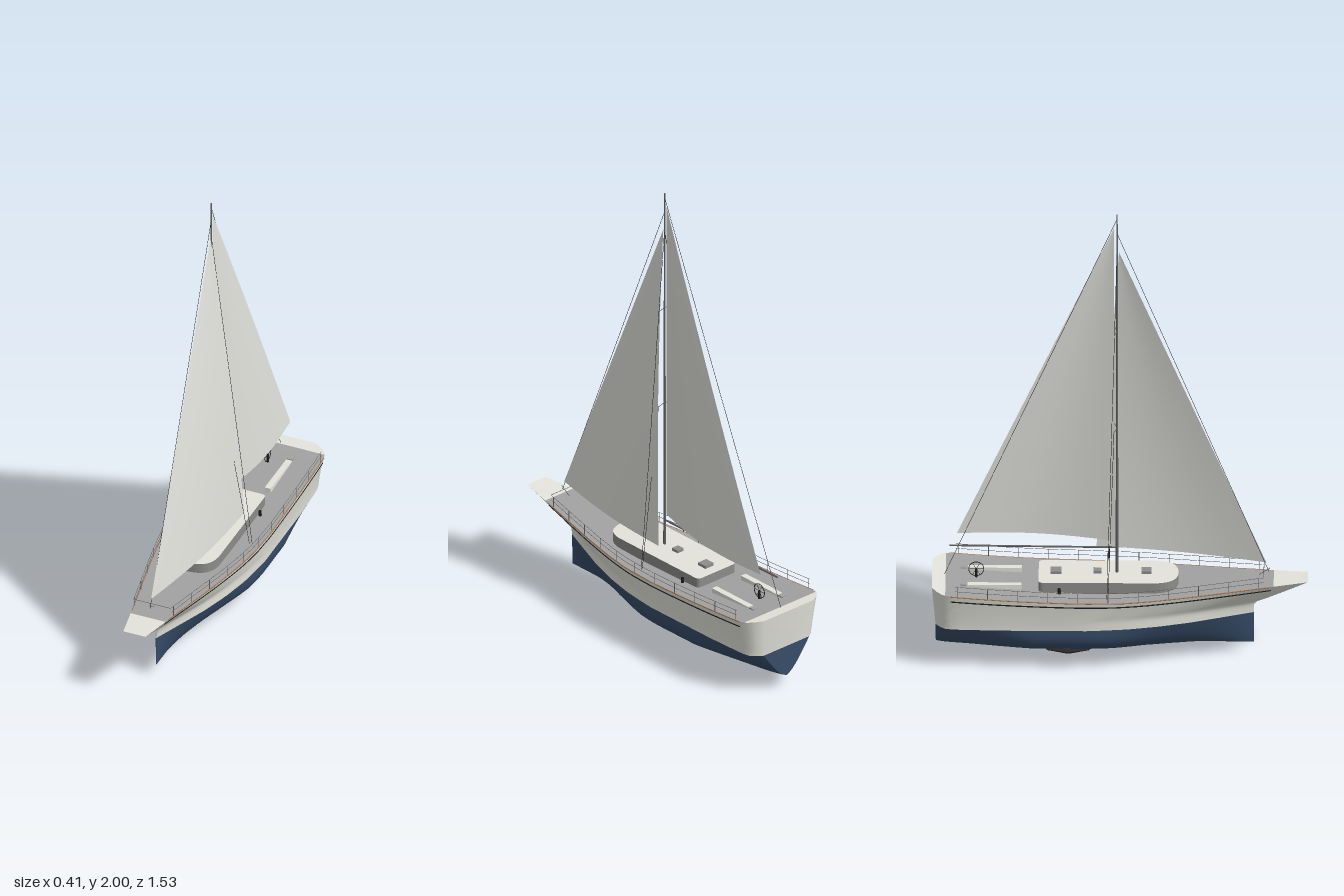
import * as THREE from 'three';
import { toCreasedNormals } from 'three/addons/utils/BufferGeometryUtils.js';

const mat = (name, color, side = THREE.FrontSide) => {
  const m = new THREE.MeshStandardMaterial({ color, side });
  m.name = name;
  return m;
};
const V = (x, y, z) => new THREE.Vector3(x, y, z);
const lerp = THREE.MathUtils.lerp;

// Piecewise-linear lookup in a short list of [position, value]
function look(list, t) {
  if (t <= list[0][0]) return list[0][1];
  for (let i = 1; i < list.length; i++) {
    const [a, va] = list[i - 1], [b, vb] = list[i];
    if (t <= b) return lerp(va, vb, (t - a) / (b - a));
  }
  return list[list.length - 1][1];
}

// Hull lines: deck half-width and sheer height along z, waterline half-width along the length
const deckLine = [[-0.775, 0.135], [-0.755, 0.17], [-0.73, 0.195], [-0.70, 0.205], [-0.15, 0.205],
  [0, 0.197], [0.1, 0.184], [0.2, 0.166], [0.3, 0.146], [0.5, 0.103], [0.76, 0.05]];
const waterLine = [[0, 0.125], [0.013, 0.15], [0.03, 0.17], [0.06, 0.178], [0.2, 0.185], [0.48, 0.187],
  [0.6, 0.17], [0.7, 0.142], [0.8, 0.103], [0.9, 0.053], [1, 0.002]];
const sheer = z => 0.327 + (z > 0 ? 0.028 * (z / 0.76) ** 1.4 : 0.038 * (-z / 0.775) ** 2);
const KEEL = 0.06, WATER = 0.195;

// Point on the left side of the hull; s runs stern to bow
function bottomPoint(s, u) {
  const y = lerp(KEEL, WATER, u);
  const round = Math.sqrt(1 - (1 - u) ** 3);
  const vee = Math.max(0.75 * Math.max(0, 1 - s / 0.3), Math.max(0, (s - 0.55) / 0.45));
  return V(look(waterLine, s) * lerp(round, u, vee), y, lerp(-0.76, 0.54, s));
}
function topPoint(s, v) {
  const bow = 0.54 + 0.22 * Math.max(0, (v - 0.31) / 0.69) ** 0.9;
  const z = lerp(-0.76 - 0.015 * v, bow, s);
  const zDeck = lerp(-0.775, 0.76, s);
  const x = lerp(look(waterLine, s), look(deckLine, zDeck), v ** 1.4);
  return V(x, lerp(WATER, sheer(zDeck), v), z);
}

// Skin a grid of points, rows of equal length
function skin(rows, closed, crease) {
  const n = rows[0].length, idx = [];
  for (let r = 0; r < rows.length - 1; r++) {
    for (let i = 0; i < (closed ? n : n - 1); i++) {
      const j = (i + 1) % n, a = r * n + i, b = r * n + j;
      idx.push(a, b, b + n, a, b + n, a + n);
    }
  }
  const g = new THREE.BufferGeometry().setFromPoints(rows.flat());
  g.setIndex(idx);
  g.computeVertexNormals();
  return crease ? toCreasedNormals(g, crease) : g;
}

const stations = [0, 0.013, 0.03, 0.05];
for (let i = 2; i <= 36; i++) stations.push(i / 36);

// Closed rings around the hull, one per level
function hullBand(point, levels) {
  const rows = [];
  for (let k = 0; k <= levels; k++) {
    const left = stations.map(s => point(s, k / levels));
    const right = left.map(p => V(-p.x, p.y, p.z));
    rows.push([...right, ...left.reverse()]);
  }
  return skin(rows, true, 0.6);
}

function deckStrip(z0, z1, n) {
  const left = [], right = [];
  for (let i = 0; i <= n; i++) {
    const z = lerp(z0, z1, i / n), x = look(deckLine, z) - 0.0005, y = sheer(z) - 0.001;
    left.push(V(x, y, z));
    right.push(V(-x, y, z));
  }
  return skin([right, left], false);
}

// Triangular sail with belly toward +x
function sailGeometry(head, tack, clew, belly, leech) {
  const rows = [], n = 16;
  for (let r = 0; r <= n; r++) {
    const v = r / n, row = [];
    for (let i = 0; i <= n; i++) {
      const u = i / n, p = tack.clone().lerp(clew, u).lerp(head, v);
      p.x += belly * Math.sin(Math.PI * u) * (1 - v) + leech * u * v * (1 - v);
      row.push(p);
    }
    rows.push(row);
  }
  return skin(rows, false);
}

export function createModel() {
  const white = mat('creamWhite', 0xe4e4dc);
  const cloth = mat('sailCloth', 0xe2e2dd, THREE.DoubleSide);
  const navy = mat('navyBottom', 0x374d69);
  const deckGrey = mat('deckGrey', 0xa2a2a2);
  const wallGrey = mat('cabinGrey', 0x8c8c8a);
  const metal = mat('sparGrey', 0x626262);
  const black = mat('rigBlack', 0x1c1c1e);
  const teak = mat('teak', 0xa8734a);
  const iron = mat('darkIron', 0x3c3535);

  const model = new THREE.Group();
  model.name = 'sailingYacht';
  const add = (name, geo, material, x = 0, y = 0, z = 0) => {
    const m = new THREE.Mesh(geo, material);
    m.name = name;
    m.position.set(x, y, z);
    model.add(m);
    return m;
  };
  const rod = (name, a, b, r, material, r2 = r) => {
    const m = add(name, new THREE.CylinderGeometry(r2, r, a.distanceTo(b), 8), material);
    m.position.copy(a).lerp(b, 0.5);
    m.quaternion.setFromUnitVectors(V(0, 1, 0), b.clone().sub(a).normalize());
    return m;
  };
  const tube = (name, pts, r, material) =>
    add(name, new THREE.TubeGeometry(new THREE.CatmullRomCurve3(pts), 60, r, 6), material);

  // Hull and decks
  add('hullBottom', hullBand(bottomPoint, 12), navy);
  add('hullTopsides', hullBand(topPoint, 12), white);
  add('sternDeck', deckStrip(-0.775, -0.72, 11), white);
  add('mainDeck', deckStrip(-0.72, 0.62, 67), deckGrey);
  add('bowDeck', deckStrip(0.62, 0.76, 4), white);

  // Trim, rails and stanchions on both sides
  for (const side of [1, -1]) {
    const along = (z0, z1, f) => Array.from({ length: 25 }, (_, i) => f(lerp(z0, z1, i / 24)));
    const edge = (z, inset, up) => V(side * (look(deckLine, z) - inset), sheer(z) + up, z);
    tube('toeRail', along(-0.70, 0.60, z => edge(z, 0.0012, -0.002)), 0.0022, teak);
    tube('rubbingStrake', along(0.05, 0.93, s => {
      const p = topPoint(s, 0.84);
      return V(side * p.x, p.y, p.z);
    }), 0.003, black);
    for (const up of [0.023, 0.044]) {
      tube('guardRail', along(-0.68, 0.58, z => edge(z, 0.004, up)), 0.0009, metal);
    }
    for (let i = 0; i <= 10; i++) {
      const z = lerp(-0.67, 0.56, i / 10);
      rod('stanchion', edge(z, 0.004, -0.004), edge(z, 0.004, 0.044), 0.0013, metal);
    }

    // Cockpit benches and winches
    add('bench', new THREE.BoxGeometry(0.026, 0.022, 0.22), white, side * 0.08, 0.346, -0.52);
    add('benchEnd', new THREE.BoxGeometry(0.026, 0.016, 0.026), deckGrey, side * 0.08, 0.35, -0.648);
    add('winch', new THREE.CylinderGeometry(0.006, 0.007, 0.026, 12), black, side * 0.115, 0.34, -0.255);

    // Shrouds and spreaders
    rod('upperShroud', V(side * 0.165, 0.33, -0.06), V(0, 1.84, -0.02), 0.0009, black);
    rod('lowerShroud', V(side * 0.155, 0.33, -0.055), V(side * 0.045, 1.03, -0.032), 0.0009, black);
    rod('lowerSpreader', V(0, 1.03, -0.02), V(side * 0.046, 1.03, -0.032), 0.0014, metal);
    rod('upperSpreader', V(0, 1.47, -0.02), V(side * 0.04, 1.47, -0.03), 0.0014, metal);
  }
  const bowRail = [1, -1].map(s => V(s * (look(deckLine, 0.58) - 0.004), sheer(0.58) + 0.044, 0.58));
  rod('pulpitBar', bowRail[0], bowRail[1], 0.0011, metal);

  // Cabin: grey walls, white roof, rounded front
  const plan = new THREE.Shape();
  plan.moveTo(-0.085, 0.34);
  plan.lineTo(0.085, 0.34);
  plan.quadraticCurveTo(0.105, 0.34, 0.105, 0.32);
  plan.lineTo(0.105, -0.14);
  plan.bezierCurveTo(0.1, -0.21, 0.06, -0.23, 0, -0.232);
  plan.bezierCurveTo(-0.06, -0.23, -0.1, -0.21, -0.105, -0.14);
  plan.lineTo(-0.105, 0.32);
  plan.quadraticCurveTo(-0.105, 0.34, -0.085, 0.34);
  const cabin = new THREE.ExtrudeGeometry(plan, { depth: 0.05, bevelEnabled: false, curveSegments: 10 });
  cabin.rotateX(-Math.PI / 2);
  add('cabin', cabin, [white, wallGrey], 0, 0.324, 0);
  [[-0.27, 0.045], [-0.10, 0.034], [0.10, 0.04]].forEach(([z, w]) =>
    add('roofHatch', new THREE.BoxGeometry(w, 0.014, w), wallGrey, 0, 0.379, z));

  // Steering wheel on its pedestal
  const wheel = add('steeringWheel', new THREE.TorusGeometry(0.031, 0.0016, 8, 32), black, 0, 0.385, -0.595);
  wheel.rotation.y = Math.PI / 2;
  for (let i = 0; i < 3; i++) {
    const a = i * Math.PI / 3, d = V(0, Math.sin(a) * 0.031, Math.cos(a) * 0.031), c = V(0, 0.385, -0.595);
    rod('wheelSpoke', c.clone().sub(d), c.clone().add(d), 0.0008, black);
  }
  rod('wheelPedestal', V(0, 0.33, -0.595), V(0, 0.385, -0.595), 0.005, black);

  // Spars
  rod('mast', V(0, 0.33, -0.02), V(0, 2, -0.02), 0.006, metal, 0.0028);
  rod('boom', V(0, 0.486, -0.02), V(0, 0.492, -0.705), 0.004, metal);

  // Stays
  rod('forestay', V(0, 0.38, 0.60), V(0, 1.91, -0.018), 0.0009, black);
  rod('forestayFoot', V(0, 0.365, 0.56), V(0, 0.395, 0.605), 0.0014, metal);
  rod('backstay', V(0, 0.36, -0.725), V(0, 1.98, -0.02), 0.0009, black);

  // Sails
  add('mainSail', sailGeometry(V(0, 1.94, -0.032), V(0, 0.515, -0.03), V(0.065, 0.515, -0.675), 0.035, 0.02), cloth);
  add('jib', sailGeometry(V(0, 1.83, -0.012), V(0, 0.42, 0.59), V(0.11, 0.437, -0.105), 0.02, 0.06), cloth);

  // Tapered pod under the hull
  const pod = new THREE.LatheGeometry(
    [[0, -0.09], [0.007, -0.088], [0.02, -0.01], [0.02, 0.01], [0.007, 0.088], [0, 0.09]]
      .map(p => new THREE.Vector2(...p)), 10);
  pod.rotateX(Math.PI / 2);
  add('pod', toCreasedNormals(pod, 0.3), iron, 0, 0.025, -0.22).scale.y = 1.1;
  rod('podStrut', V(0, 0.035, -0.205), V(0, 0.07, -0.17), 0.006, iron);

  return model;
}
